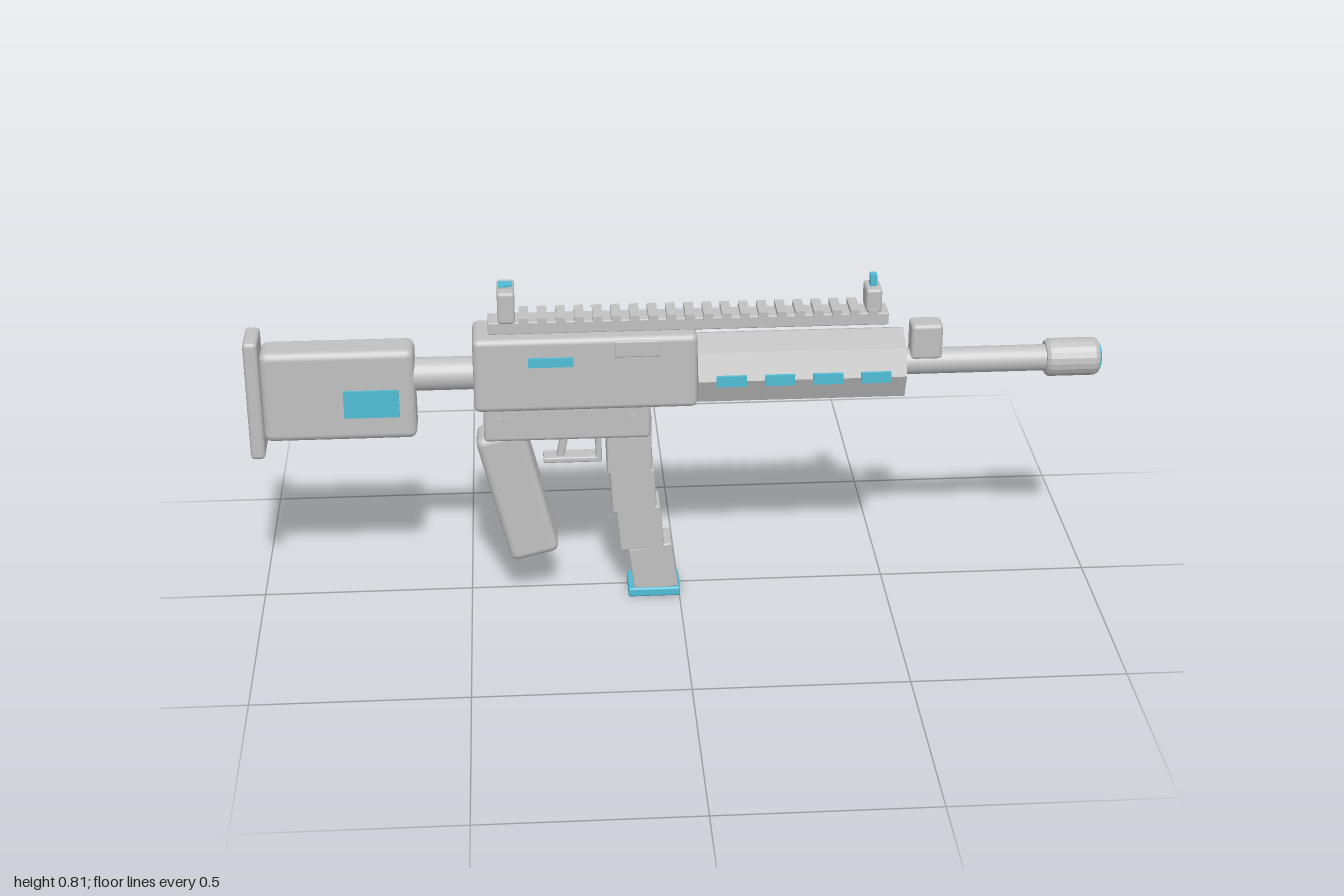
import * as THREE from 'three';
import { RoundedBoxGeometry } from 'three/addons/geometries/RoundedBoxGeometry.js';

const mat = (name, color, flat = false) => {
  const m = new THREE.MeshStandardMaterial({ color, flatShading: flat });
  m.name = name;
  return m;
};

export function createModel() {
  const gray = mat('light gray', 0xc0c0c0);
  const blue = mat('cyan accent', 0x50bcd4);
  const root = new THREE.Group();
  root.name = 'toyBlaster';
  const body = new THREE.Group();
  body.name = 'body';
  body.position.z = 0.024; // the side handle shifts the centre line
  root.add(body);

  const add = (name, geo, m, x, y, z = 0) => {
    const mesh = new THREE.Mesh(geo, m);
    mesh.name = name;
    mesh.position.set(x, y, z);
    body.add(mesh);
    return mesh;
  };
  // Box given by its x and y limits and its depth; r rounds the edges
  const box = (name, x0, x1, y0, y1, d, r = 0, m = gray, z = 0) => {
    const w = x1 - x0, h = y1 - y0;
    const geo = r ? new RoundedBoxGeometry(w, h, d, 2, r) : new THREE.BoxGeometry(w, h, d);
    return add(name, geo, m, (x0 + x1) / 2, (y0 + y1) / 2, z);
  };
  // Cylinder along x
  const tube = (name, x0, x1, y, r, sides = 24) =>
    add(name, new THREE.CylinderGeometry(r, r, x1 - x0, sides).rotateZ(-Math.PI / 2), gray, (x0 + x1) / 2, y);
  const axisY = 0.586;

  // Stock
  box('buttPlate', -1, -0.966, 0.402, 0.698, 0.104, 0.01);
  box('stock', -0.966, -0.612, 0.441, 0.666, 0.09, 0.018);
  tube('stockTube', -0.63, -0.46, axisY + 0.002, 0.039);

  // Receiver
  box('upperReceiver', -0.477, 0.041, 0.512, 0.695, 0.132, 0.014);
  box('lowerReceiver', -0.457, -0.068, 0.432, 0.53, 0.113, 0.01);

  // Details on both sides
  for (const s of [1, -1]) {
    box('stockPanel', -0.778, -0.65, 0.502, 0.57, 0.008, 0, blue, s * 0.046);
    box('receiverStripe', -0.35, -0.246, 0.628, 0.65, 0.008, 0, blue, s * 0.069);
    box('ejectionPort', -0.15, -0.046, 0.647, 0.687, 0.009, 0.003, gray, s * 0.066);
    for (const x of [-0.42, -0.11])
      add('pin', new THREE.CylinderGeometry(0.011, 0.011, 0.012, 12).rotateX(Math.PI / 2), gray, x, 0.486, s * 0.058);
    for (let i = 0; i < 4; i++) {
      const x = 0.118 + i * 0.112;
      box('vent', x - 0.035, x + 0.035, axisY - 0.013, axisY + 0.013, 0.02, 0, blue, s * 0.079);
    }
  }

  // Side handle with ball end
  add('handleRod', new THREE.CylinderGeometry(0.009, 0.009, 0.06, 12).rotateX(Math.PI / 2), gray, -0.073, 0.664, -0.085);
  add('handleKnob', new THREE.SphereGeometry(0.017, 16, 12), gray, -0.073, 0.664, -0.115);

  // Octagonal handguard, one corner to each side
  const guard = tube('handguard', 0.041, 0.526, axisY, 0.0865, 8);
  guard.material = mat('light gray faceted', 0xc0c0c0, true);

  // Barrel, chamfered muzzle and domed tip
  tube('barrel', 0.5, 0.89, axisY, 0.031);
  box('gasBlock', 0.543, 0.617, 0.6, 0.688, 0.058, 0.01);
  const profile = [[0, 0.865], [0.039, 0.865], [0.045, 0.873], [0.045, 0.98], [0.039, 0.99], [0, 0.99]]
    .map(([r, x]) => new THREE.Vector2(r, x));
  const muzzle = new THREE.LatheGeometry(profile, 20).rotateZ(-Math.PI / 2).toNonIndexed();
  muzzle.computeVertexNormals();
  add('muzzle', muzzle, gray, 0, axisY);
  add('muzzleTip', new THREE.SphereGeometry(0.035, 20, 14).scale(0.28, 1, 1), blue, 0.99, axisY);

  // Top rail with teeth
  box('rail', -0.44, 0.487, 0.694, 0.724, 0.06, 0.003);
  for (let i = 0; i < 21; i++) {
    const x = -0.4 + i * 0.0425;
    box('railTooth', x - 0.011, x + 0.011, 0.72, 0.736, 0.074);
  }

  // Sights
  box('rearSight', -0.417, -0.377, 0.726, 0.803, 0.09, 0.007);
  box('rearSightNotch', -0.414, -0.38, 0.795, 0.806, 0.03);
  box('rearSightMark', -0.413, -0.381, 0.805, 0.81, 0.028, 0, blue);
  box('frontSight', 0.433, 0.47, 0.726, 0.783, 0.066, 0.007);
  box('frontSightPost', 0.444, 0.46, 0.775, 0.811, 0.02, 0, blue);

  // Grip, trigger and trigger guard
  add('grip', new RoundedBoxGeometry(0.118, 0.335, 0.096, 2, 0.018), gray, -0.383, 0.281).rotation.z = 0.235;
  add('trigger', new RoundedBoxGeometry(0.018, 0.085, 0.025, 2, 0.005), gray, -0.272, 0.405).rotation.z = -0.2;
  box('triggerGuard', -0.32, -0.182, 0.356, 0.37, 0.045, 0.004);
  box('triggerGuardPost', -0.196, -0.182, 0.36, 0.44, 0.045, 0.004);

  // Curved magazine: centre x, bottom y, top y, tilt
  const segments = [
    [-0.118, 0.331, 0.49, 0.01],
    [-0.109, 0.23, 0.34, 0.05],
    [-0.093, 0.128, 0.24, 0.09],
    [-0.063, 0.016, 0.136, 0.13],
  ];
  for (const [x, y0, y1, tilt] of segments)
    box('magazineSegment', x - 0.053, x + 0.053, y0, y1, 0.085, 0.005).rotation.z = tilt;
  box('magazineBase', -0.123, 0.002, 0, 0.023, 0.095, 0.005, blue);

  return root;
}
